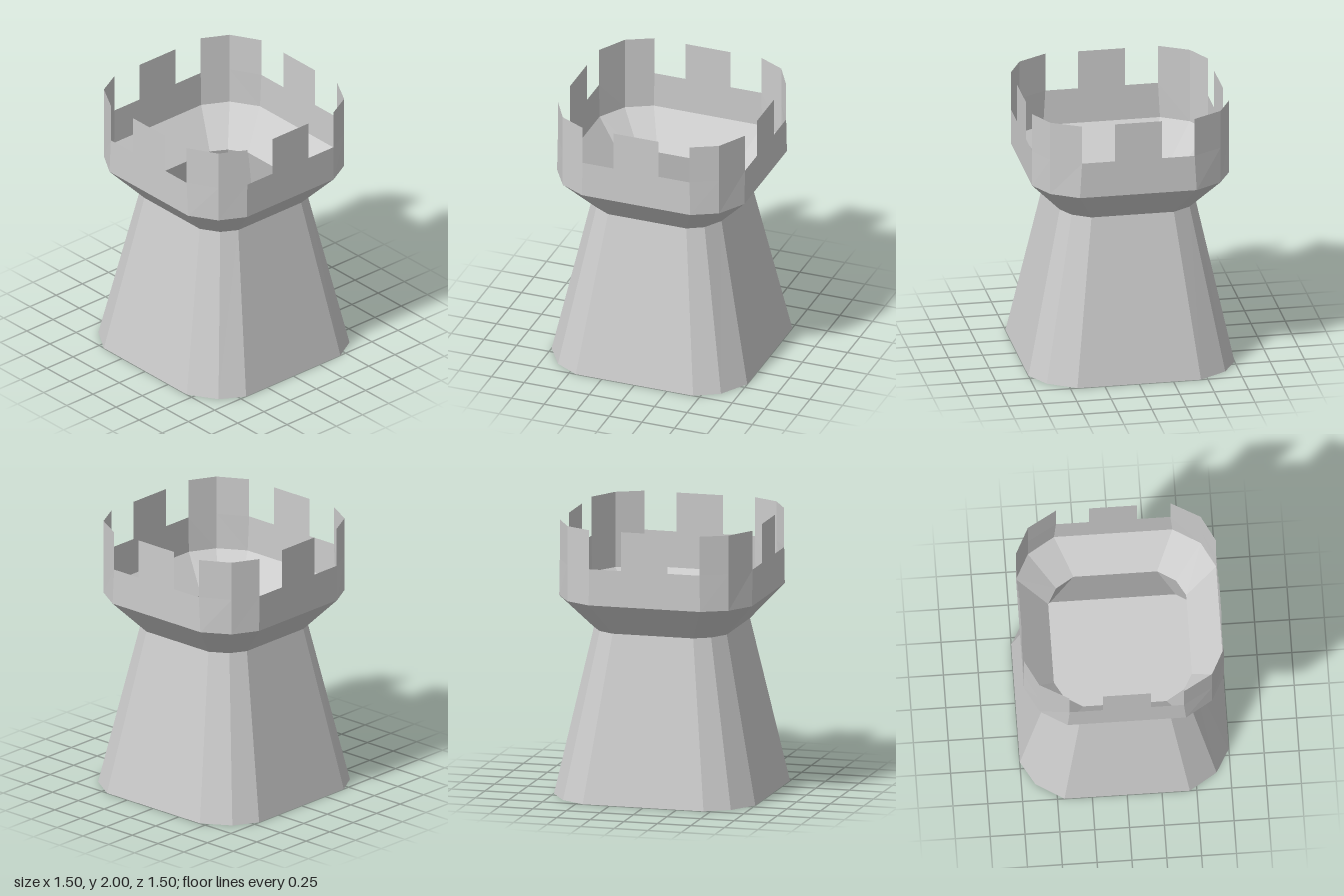
import * as THREE from 'three';

const material = new THREE.MeshStandardMaterial({ color: 0xcccccc, flatShading: true, side: THREE.DoubleSide });

// Twelve-sided ring: a square with two-facet corners, given the three points of one corner as [x, z]
function ring(y, p, q, r) {
  const point = (x, z) => new THREE.Vector3(x, y, z);
  const corner = [p, q, r];
  const back = [r, q, p];
  return [
    ...corner.map(([x, z]) => point(x, z)),
    ...back.map(([x, z]) => point(x, -z)),
    ...corner.map(([x, z]) => point(-x, -z)),
    ...back.map(([x, z]) => point(-x, z)),
  ];
}

// Mesh from a list of triangles' corners
function shell(name, points) {
  const geometry = new THREE.BufferGeometry().setFromPoints(points);
  geometry.computeVertexNormals();
  const mesh = new THREE.Mesh(geometry, material);
  mesh.name = name;
  return mesh;
}

const quad = (a, b, c, d) => [a, b, c, a, c, d];

// Band of faces between two rings
function band(name, low, high) {
  return shell(name, low.flatMap((p, i) => {
    const j = (i + 1) % low.length;
    return quad(p, low[j], high[j], high[i]);
  }));
}

export function createModel() {
  const group = new THREE.Group();
  group.name = 'castleTower';

  const foot = ring(0, [0.45, 0.75], [0.65, 0.625], [0.75, 0.45]);
  const neck = ring(1.205, [0.3, 0.495], [0.43, 0.415], [0.495, 0.3]);
  const rim = ring(1.45, [0.425, 0.718], [0.62, 0.6], [0.718, 0.415]);
  const sill = ring(1.715, [0.41, 0.718], [0.62, 0.6], [0.718, 0.41]);
  const top = sill.map((p) => p.clone().setY(2));

  // Closed underside, fanned from the centre and facing down
  const centre = new THREE.Vector3(0, 0, 0);
  group.add(shell('base', foot.flatMap((p, i) => [centre, foot[(i + 1) % 12], p])));

  // Hollow tapered body, flared collar and parapet wall
  group.add(band('body', foot, neck));
  group.add(band('collar', neck, rim));
  group.add(band('parapet', rim, sill));

  // Merlons: full facets at the corners, a narrow one in the middle of each side
  const merlons = new THREE.Group();
  merlons.name = 'battlements';
  for (let i = 0; i < 12; i++) {
    const j = (i + 1) % 12;
    const inset = i % 3 === 2 ? 0.5 - 0.172 / 0.82 : 0;
    const along = (loop, t) => loop[i].clone().lerp(loop[j], t);
    merlons.add(shell(inset ? 'sideMerlon' : 'cornerMerlon', quad(
      along(sill, inset), along(sill, 1 - inset), along(top, 1 - inset), along(top, inset))));
  }
  group.add(merlons);
  return group;
}
